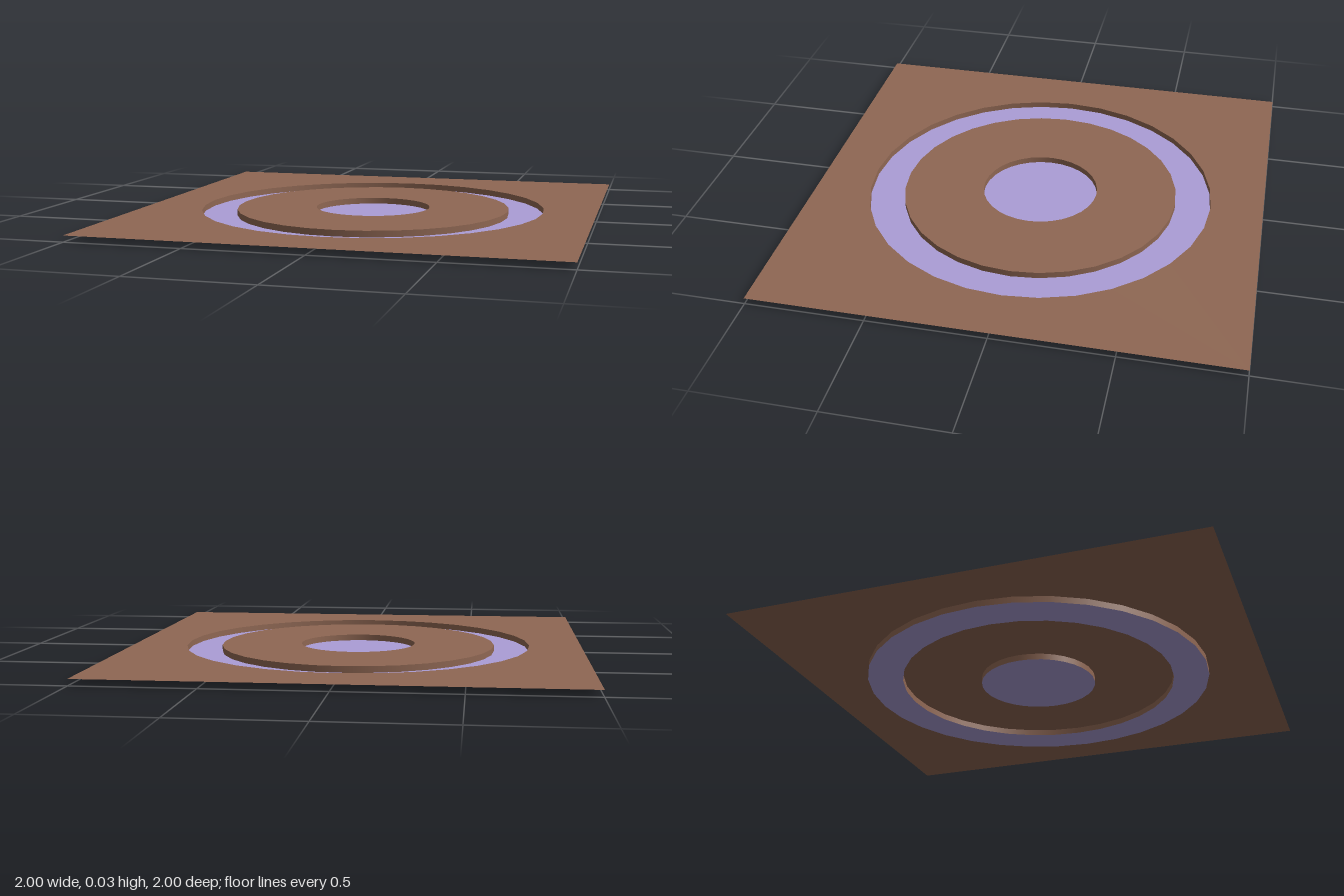
import * as THREE from 'three';

const SIDES = 32;
const TOP = 0.027; // height of the raised surface above the recessed floors
const OUTER = 0.77, INNER = 0.613, CENTRE = 0.257;

export function createModel() {
  const brown = new THREE.MeshStandardMaterial({ color: 0x8f6753, side: THREE.DoubleSide });
  brown.name = 'brown';
  const lilac = new THREE.MeshStandardMaterial({ color: 0xab9dd6, side: THREE.DoubleSide });
  lilac.name = 'lilac';

  const group = new THREE.Group();
  group.name = 'recessedPanel';

  const add = (name, geometry, material, y) => {
    const mesh = new THREE.Mesh(geometry, material);
    mesh.name = name;
    mesh.position.y = y;
    group.add(mesh);
  };
  const flat = (geometry) => geometry.rotateX(-Math.PI / 2);
  const ring = (inner, outer) => flat(new THREE.RingGeometry(inner, outer, SIDES));
  const wall = (radius) => new THREE.CylinderGeometry(radius, radius, TOP, SIDES, 1, true);

  // Square sheet with a round opening
  const square = new THREE.Shape([[-1, -1], [1, -1], [1, 1], [-1, 1]].map(([x, y]) => new THREE.Vector2(x, y)));
  const rim = [];
  for (let i = 0; i < SIDES; i++) {
    const a = (i / SIDES) * Math.PI * 2;
    rim.push(new THREE.Vector2(Math.cos(a) * OUTER, Math.sin(a) * OUTER));
  }
  square.holes.push(new THREE.Path(rim));
  add('squareSheet', flat(new THREE.ShapeGeometry(square)), brown, TOP);

  // Raised ring between the two recesses
  add('raisedRing', ring(CENTRE, INNER), brown, TOP);

  // Recessed floors
  add('ringFloor', ring(INNER, OUTER), lilac, 0);
  add('centreFloor', flat(new THREE.CircleGeometry(CENTRE, SIDES)), lilac, 0);

  // Step walls joining the two levels
  add('outerWall', wall(OUTER), brown, TOP / 2);
  add('innerWall', wall(INNER), brown, TOP / 2);
  add('centreWall', wall(CENTRE), brown, TOP / 2);

  return group;
}
